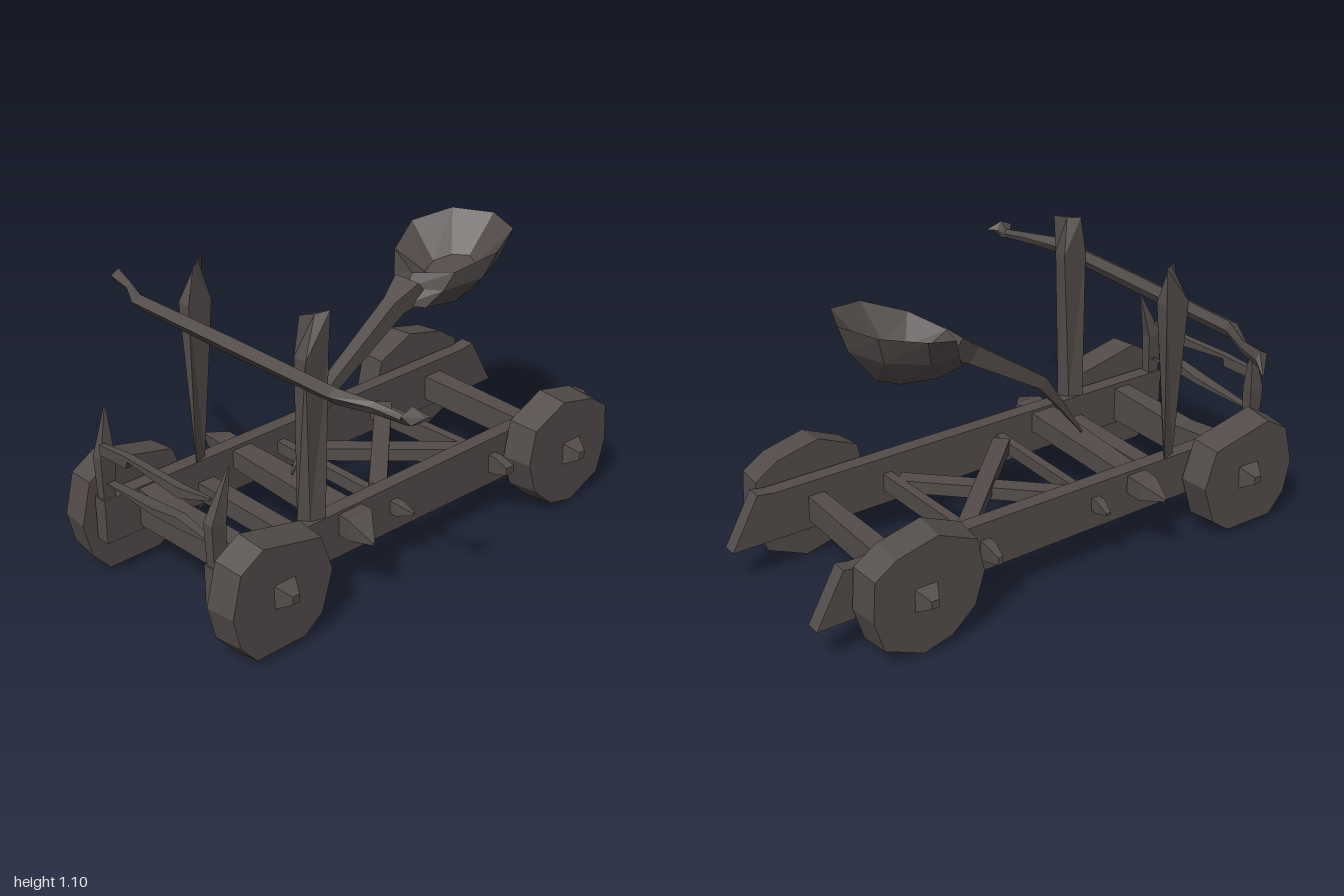
import * as THREE from 'three';

const wood = new THREE.MeshStandardMaterial({ color: 0x534c4a, flatShading: true, side: THREE.DoubleSide });
wood.name = 'dark weathered wood';

// Skins a row of equal-sized cross-sections and closes both ends; faces are turned outward.
function loft(name, sections) {
  const tris = [];
  const n = sections[0].length;
  const cap = (section, flip) => {
    const c = [0, 1, 2].map(k => section.reduce((sum, p) => sum + p[k], 0) / n);
    for (let i = 0; i < n; i++) {
      const a = section[i], b = section[(i + 1) % n];
      tris.push(flip ? [c, b, a] : [c, a, b]);
    }
  };
  cap(sections[0], true);
  for (let s = 0; s < sections.length - 1; s++) {
    for (let i = 0; i < n; i++) {
      const j = (i + 1) % n;
      const a = sections[s][i], b = sections[s][j], c = sections[s + 1][j], d = sections[s + 1][i];
      tris.push([a, b, c], [a, c, d]);
    }
  }
  cap(sections[sections.length - 1], false);

  let volume = 0;
  for (const [a, b, c] of tris) {
    volume += a[0] * (b[1] * c[2] - b[2] * c[1]) + a[1] * (b[2] * c[0] - b[0] * c[2]) + a[2] * (b[0] * c[1] - b[1] * c[0]);
  }
  if (volume < 0) tris.forEach(t => t.reverse());
  const geometry = new THREE.BufferGeometry();
  geometry.setAttribute('position', new THREE.Float32BufferAttribute(tris.flat(2), 3));
  geometry.computeVertexNormals();
  const mesh = new THREE.Mesh(geometry, wood);
  mesh.name = name;
  return mesh;
}

// Timber running along x; each station is [x, y, z, height, depth].
const beam = (name, stations) => loft(name, stations.map(([x, y, z, h, d]) => [
  [x, y - h / 2, z - d / 2], [x, y - h / 2, z + d / 2], [x, y + h / 2, z + d / 2], [x, y + h / 2, z - d / 2],
]));

// Post running up y; each station is [x, y, z, width, depth].
const post = (name, stations) => loft(name, stations.map(([x, y, z, w, d]) => [
  [x - w / 2, y, z - d / 2], [x + w / 2, y, z - d / 2], [x + w / 2, y, z + d / 2], [x - w / 2, y, z + d / 2],
]));

// Solid between two x positions from a side outline of [z, y] points.
const plate = (name, outline, x0, x1) => loft(name, [x0, x1].map(x => outline.map(([z, y]) => [x, y, z])));

// Rough-hewn wheel, a little smaller on its outer face.
const wheel = (name, outline, [cz, cy], s) => loft(name, [[0.342, 1], [0.46, 0.95]].map(([x, k]) =>
  outline.map(([z, y]) => [s * x, cy + (y - cy) * k, cz + (z - cz) * k])));

// Eight-sided ring for the bucket; lift tilts it, sides raises its flanks.
const ring = (rx, rz, y, z, lift, sides) => Array.from({ length: 8 }, (_, i) => {
  const a = i * Math.PI / 4, c = Math.cos(a), s = Math.sin(a);
  return [rx * c, y - lift * s + sides * c * c, z + rz * s];
});

export function createModel() {
  const model = new THREE.Group();
  model.name = 'catapult';

  const frontWheel = [[1, 0.23], [0.96, 0.39], [0.86, 0.45], [0.6, 0.39], [0.55, 0.24], [0.6, 0.08], [0.68, 0.02], [0.9, 0.02], [0.97, 0.1]];
  const rearWheel = [[-0.41, 0.25], [-0.44, 0.39], [-0.6, 0.46], [-0.77, 0.42], [-0.86, 0.36], [-0.87, 0.2], [-0.83, 0.07], [-0.67, 0], [-0.55, 0.03], [-0.45, 0.12]];
  const rail = [[0.95, 0.17], [0.95, 0.34], [-0.84, 0.34], [-0.89, 0.35], [-1, 0.15], [-0.4, 0.15]];

  for (const s of [1, -1]) {
    const side = s > 0 ? 'left' : 'right';
    model.add(plate(side + 'Rail', rail, s * 0.272, s * 0.33));
    model.add(wheel(side + 'FrontWheel', frontWheel, [0.77, 0.24], s));
    model.add(wheel(side + 'RearWheel', rearWheel, [-0.645, 0.23], s));

    // Pointed hub ends
    for (const [name, z, y] of [['FrontHub', 0.77, 0.24], ['RearHub', -0.655, 0.23]]) {
      model.add(beam(side + name, [[s * 0.45, y, z, 0.1, 0.1], [s * 0.515, y, z, 0.03, 0.03]]));
    }

    // Uprights: full section under the bow, pinched to a diagonal edge at both ends
    const uprightLevels = [[0.14, 0.47, 0.55, 0.1], [0.34, 0.47, 0.55, 0.35], [0.95, 0.45, 0.55, 1], [1.09, 0.44, 0.525, 0.08]];
    model.add(loft(side + 'Upright', uprightLevels.map(([y, back, front, open]) => {
      const z = (back + front) / 2, reach = open * (front - back) / 2;
      return [
        [s * 0.272, y, front], [s * (0.3 + 0.028 * open), y, z + reach],
        [s * 0.328, y + (y > 1 ? 0.01 : 0), back], [s * (0.3 - 0.028 * open), y, z - reach],
      ];
    })));

    // Sharpened front stakes
    model.add(post(side + 'Stake', [
      [s * 0.3, 0.18, 0.92, 0.03, 0.04], [s * 0.3, 0.5, 0.92, 0.045, 0.06], [s * 0.305, 0.68, s > 0 ? 0.86 : 0.9, 0.005, 0.005],
    ]));
  }

  // Axles and cross members
  model.add(beam('frontAxle', [[-0.46, 0.24, 0.76, 0.12, 0.1], [-0.28, 0.26, 0.76, 0.15, 0.09], [-0.1, 0.25, 0.76, 0.12, 0.085], [0.28, 0.25, 0.75, 0.14, 0.07], [0.46, 0.24, 0.76, 0.1, 0.07]]));
  model.add(beam('rearAxle', [[-0.46, 0.24, -0.66, 0.1, 0.09], [0.46, 0.23, -0.655, 0.1, 0.06]]));
  model.add(beam('armCrossBeam', [[-0.5, 0.29, 0.335, 0.01, 0.01], [-0.4, 0.29, 0.335, 0.07, 0.08], [0.38, 0.29, 0.36, 0.08, 0.11], [0.49, 0.28, 0.4, 0.01, 0.01]]));
  model.add(beam('uprightCrossBeam', [[-0.3, 0.22, 0.51, 0.07, 0.07], [0.3, 0.22, 0.51, 0.07, 0.07]]));
  model.add(beam('middleCrossBeam', [[-0.42, 0.26, 0.14, 0.01, 0.02], [-0.36, 0.26, 0.15, 0.05, 0.035], [0.36, 0.26, 0.15, 0.05, 0.035], [0.42, 0.26, 0.14, 0.01, 0.01]]));
  model.add(beam('rearCrossBeam', [[-0.43, 0.24, -0.335, 0.03, 0.02], [-0.36, 0.24, -0.33, 0.07, 0.04], [0.36, 0.24, -0.36, 0.07, 0.035], [0.42, 0.24, -0.36, 0.03, 0.04]]));

  // Diagonal bracing
  for (const s of [1, -1]) {
    const brace = new THREE.Mesh(new THREE.BoxGeometry(0.065, 0.05, 0.64), wood);
    brace.name = s > 0 ? 'leftBrace' : 'rightBrace';
    brace.position.set(0, s > 0 ? 0.27 : 0.25, -0.105);
    brace.rotation.y = s * 0.77;
    model.add(brace);
  }

  // Splintered slats between the stakes
  model.add(beam('upperSlat', [[-0.28, 0.54, 0.94, 0.04, 0.02], [-0.14, 0.545, 0.93, 0.045, 0.03], [-0.13, 0.56, 0.93, 0.015, 0.03], [0.13, 0.54, 0.92, 0.04, 0.03], [0.27, 0.565, 0.91, 0.01, 0.01]]));
  model.add(beam('lowerSlat', [[-0.27, 0.405, 0.92, 0.005, 0.03], [0, 0.415, 0.92, 0.025, 0.05], [0.12, 0.425, 0.92, 0.04, 0.04], [0.27, 0.405, 0.91, 0.005, 0.02]]));

  // Bow with swept-back, flared tips and a sharp front edge
  const bowStations = [
    [-0.795, 0.86, 0.48, 0.01, 0.01], [-0.755, 0.9, 0.505, 0.065, 0.05], [-0.64, 0.895, 0.53, 0.05, 0.03], [-0.51, 0.9, 0.59, 0.06, 0.055],
    [0, 0.9, 0.59, 0.07, 0.06], [0.5, 0.9, 0.585, 0.06, 0.06], [0.63, 0.895, 0.54, 0.045, 0.03],
    [0.74, 0.885, 0.515, 0.035, 0.03], [0.755, 0.9, 0.51, 0.07, 0.07], [0.795, 0.895, 0.495, 0.01, 0.09],
  ];
  model.add(loft('bow', bowStations.map(([x, y, z, h, d]) => [
    [x, y - h / 2, z - d * 0.2], [x, y + h * 0.2, z + d / 2], [x, y + h / 2, z - d * 0.2], [x, y, z - d / 2],
  ])));

  // Throwing arm: stations of [x, y, z, half width, half thickness]
  const armStations = [[0.022, 0.34, 0.355, 0.004, 0.004], [0.012, 0.5, 0.235, 0.018, 0.014], [0.002, 0.62, 0.14, 0.025, 0.024], [-0.005, 0.82, -0.17, 0.03, 0.035], [0, 0.875, -0.26, 0.06, 0.045]];
  model.add(loft('throwingArm', armStations.map(([x, y, z, w, t]) => [
    [x - w, y - t * 0.8, z - t * 0.6], [x + w, y - t * 0.8, z - t * 0.6], [x + w, y + t * 0.8, z + t * 0.6], [x - w, y + t * 0.8, z + t * 0.6],
  ])));

  // Hollow bucket, from inner floor over the rim to the underside
  model.add(loft('bucket', [
    ring(0.09, 0.1, 0.89, -0.46, 0.02, 0),
    ring(0.218, 0.215, 0.988, -0.473, 0.06, 0.025),
    ring(0.18, 0.21, 0.91, -0.44, 0.035, 0),
    ring(0.11, 0.175, 0.815, -0.375, 0, 0),
  ]));

  return model;
}
